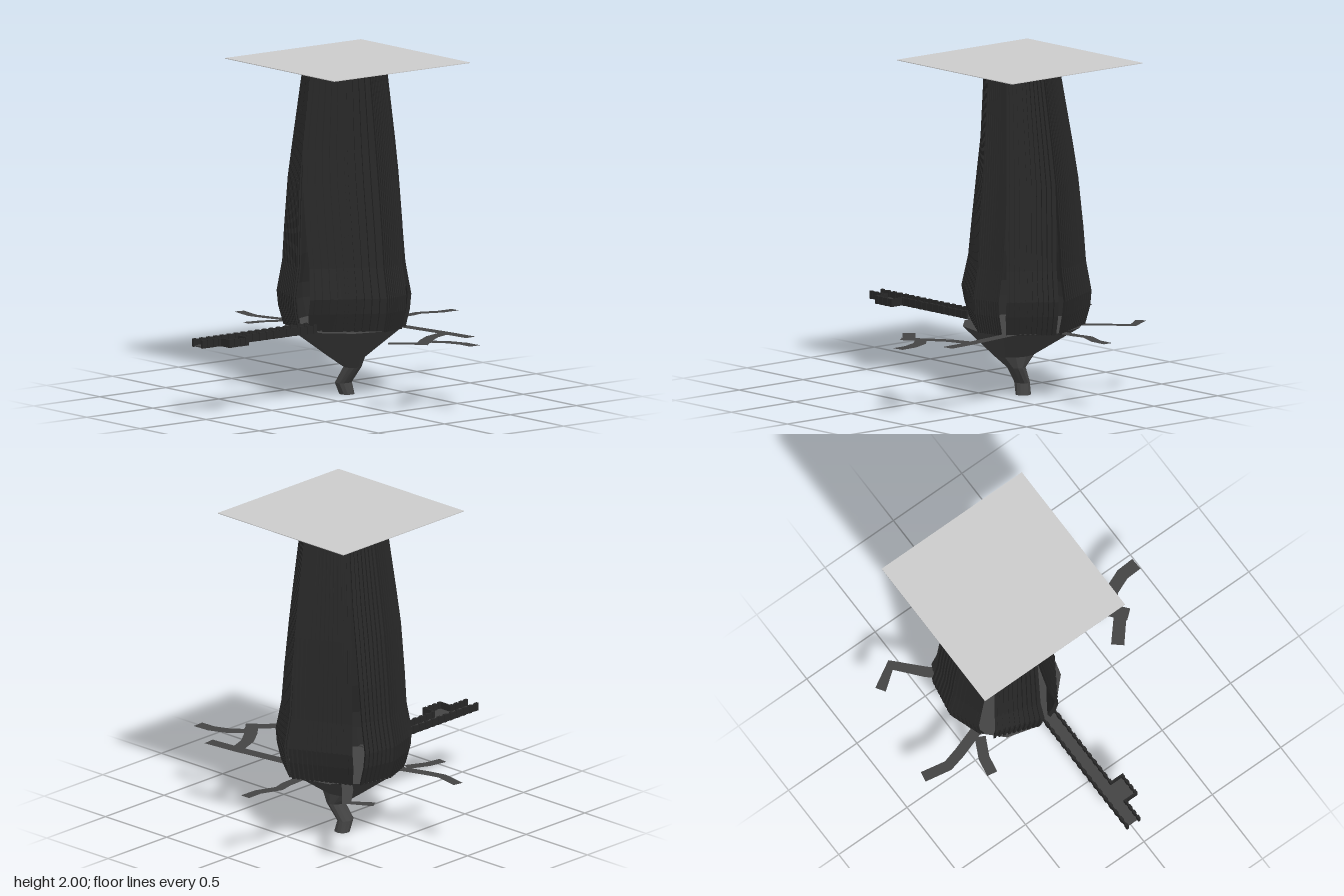
import * as THREE from 'three';

const mat = (color) => new THREE.MeshStandardMaterial({ color, flatShading: true, side: THREE.DoubleSide });
const dark = mat(0x444444), wallDark = mat(0x282828), grey = mat(0xcccccc);
const FLOOR = 0.42;

function add(parent, geometry, material, name) {
  const mesh = new THREE.Mesh(geometry, material);
  mesh.name = name;
  parent.add(mesh);
  return mesh;
}

function box(parent, name, x0, x1, y0, y1, z0, z1, material) {
  const mesh = add(parent, new THREE.BoxGeometry(x1 - x0, y1 - y0, z1 - z0), material, name);
  mesh.position.set((x0 + x1) / 2, (y0 + y1) / 2, (z0 + z1) / 2);
}

// Skin between closed rings of equal point count, listed bottom to top
function loft(rings) {
  const n = rings[0].length, index = [];
  for (let i = 0; i < rings.length - 1; i++) {
    for (let j = 0; j < n; j++) {
      const a = i * n + j, b = i * n + (j + 1) % n;
      index.push(a, a + n, b, b, a + n, b + n);
    }
  }
  const g = new THREE.BufferGeometry();
  g.setAttribute('position', new THREE.Float32BufferAttribute(rings.flat(2), 3));
  g.setIndex(index);
  g.computeVertexNormals();
  return g;
}

// Flat ribbon of constant width along [x, z] points
function ribbon(points, width) {
  const v = points.map((p) => new THREE.Vector2(...p)), pos = [], index = [];
  v.forEach((p, i) => {
    const d = v[Math.min(i + 1, v.length - 1)].clone().sub(v[Math.max(i - 1, 0)]).normalize();
    const ox = -d.y * width / 2, oz = d.x * width / 2;
    pos.push(p.x + ox, FLOOR, p.y + oz, p.x - ox, FLOOR, p.y - oz);
    if (i) index.push(2 * i - 2, 2 * i - 1, 2 * i, 2 * i - 1, 2 * i + 1, 2 * i);
  });
  const g = new THREE.BufferGeometry();
  g.setAttribute('position', new THREE.Float32BufferAttribute(pos, 3));
  g.setIndex(index);
  g.computeVertexNormals();
  return g;
}

// Tower outline: height, centre x, z, radius x, z
const profile = [
  [0.415, -0.175, -0.205, 0.36, 0.385], [0.53, -0.178, -0.205, 0.39, 0.412],
  [0.62, -0.178, -0.205, 0.395, 0.422], [0.8, -0.178, -0.205, 0.362, 0.39],
  [1.0, -0.177, -0.203, 0.347, 0.382], [1.3, -0.175, -0.198, 0.317, 0.365],
  [1.5, -0.168, -0.193, 0.292, 0.342], [1.98, -0.15, -0.18, 0.23, 0.28],
];
// Slits between the walls: start and end angle, closing height and angle,
// then the bend angles of the wall that follows
const slits = [
  [68, 85, 1.5, 86, []], [131, 146, 1.75, 138, [175]], [205, 216, 1.7, 212, []],
  [276, 282, 1.3, 279, []], [328, 336, 1.15, 332, [360]],
];

// Ribbed wall of flat faces between two neighbouring slits
function panel(slit, next, turn) {
  const faces = slit[4].length + 1, ribs = Math.round((next[0] + turn - slit[1]) / faces / 4.5);
  const rings = profile.map(([y, cx, cz, rx, rz], level) => {
    // The slits are widest at the bulge and narrow above and below it
    const edge = (s, k) => {
      const above = THREE.MathUtils.clamp((s[2] - y) / (s[2] - 0.62), 0.02, 1);
      const open = above * Math.min(1, 0.65 + (y - 0.415) * 1.75);
      return s[3] + (s[k] - s[3]) * open;
    };
    const corners = [edge(slit, 1), ...slit[4], edge(next, 0) + turn].map((deg) => {
      const a = THREE.MathUtils.degToRad(deg);
      return [Math.cos(a) * rx, Math.sin(a) * rz];
    });
    const outer = [], inner = [];
    for (let f = 0; f < faces; f++) {
      const [p, q] = [corners[f], corners[f + 1]];
      for (let i = 0; i < ribs; i++) {
        const jag = level === profile.length - 1 ? ((i * 5) % 4) * 0.004 - 0.008 : 0;
        for (const [s, inset] of [[0, 0.012], [0.45, 0.012], [0.46, 0], [1, 0]]) {
          const t = (i + s) / ribs;
          const place = (depth) => {
            const k = 1 - depth / rx;
            return [cx + k * (p[0] + (q[0] - p[0]) * t), y + jag, cz + k * (p[1] + (q[1] - p[1]) * t)];
          };
          outer.push(place(inset));
          inner.unshift(place(0.022));
        }
      }
    }
    return [...outer, ...inner];
  });
  return loft(rings);
}

export function createModel() {
  const model = new THREE.Group();
  model.name = 'tower';

  // Bent stem widening into the bowl: height, centre x, z, radius x, z
  const rows = [
    [0, -0.172, -0.205, 0.047, 0.045], [0.07, -0.18, -0.185, 0.042, 0.055],
    [0.17, -0.118, -0.205, 0.055, 0.055], [0.24, -0.135, -0.167, 0.135, 0.105],
    [FLOOR, -0.175, -0.193, 0.358, 0.36],
  ];
  const ring = ([y, cx, cz, rx, rz]) => Array.from({ length: 12 }, (_, i) => {
    const a = i / 12 * Math.PI * 2;
    return [cx + Math.cos(a) * rx, y, cz + Math.sin(a) * rz];
  });
  const point = ([y, cx, cz]) => ring([y, cx, cz, 0, 0]);
  add(model, loft([point(rows[0]), ...rows.map(ring), point(rows[4])]), dark, 'bowlAndStem');

  // Wall panels
  const walls = new THREE.Group();
  walls.name = 'walls';
  slits.forEach((s, i) => {
    const last = i === slits.length - 1;
    add(walls, panel(s, slits[last ? 0 : i + 1], last ? 360 : 0), wallDark, 'wallPanel');
  });
  model.add(walls);

  // Flat roof sheet
  box(model, 'roof', -0.665, 0.36, 1.996, 2, -0.71, 0.32, grey);

  // Branching side paths
  const paths = [
    [[0.08, -0.4], [0.45, -0.455], [0.66, -0.475]],
    [[0.45, -0.45], [0.5, -0.31], [0.57, -0.21], [0.68, -0.08]],
    [[0.515, 0.035], [0.64, -0.11], [0.62, -0.19], [0.69, -0.26], [0.8, -0.305], [0.905, -0.31]],
    [[-0.14, -1], [-0.14, -0.89], [-0.19, -0.76], [-0.17, -0.68], [-0.16, -0.48]],
    [[-0.78, -0.565], [-0.64, -0.655], [-0.5, -0.5], [-0.34, -0.35]],
    [[-0.9, 0.025], [-0.74, 0.055], [-0.64, 0.03], [-0.4, -0.05]],
    [[-0.56, 0.25], [-0.54, 0.14], [-0.48, 0.02]],
  ];
  paths.forEach((p, i) => add(model, ribbon(p, i < 3 ? 0.078 : 0.066), dark, 'sidePath'));

  // Front walkway with a side platform
  const walkway = new THREE.Group();
  walkway.name = 'walkway';
  const top = 0.468, L = -0.12, R = -0.035, P = 0.045;
  box(walkway, 'deck', L, R, FLOOR, FLOOR + 0.008, 0.08, 0.99, dark);
  box(walkway, 'platform', R, P, FLOOR, FLOOR + 0.008, 0.72, 0.86, dark);
  // Railings along z: x, start, end
  for (const [x, z0, z1] of [[L, 0.14, 1], [R, 0.14, 0.72], [R, 0.86, 1], [P, 0.72, 0.86]]) {
    box(walkway, 'railing', x - 0.004, x + 0.004, FLOOR, top - 0.004, z0, z1, wallDark);
    const n = Math.max(2, Math.round((z1 - z0) / 0.055));
    for (let i = 0; i <= n; i++) {
      const z = z0 + 0.008 + (z1 - z0 - 0.016) * i / n;
      box(walkway, 'railingPost', x - 0.008, x + 0.008, FLOOR, top, z - 0.012, z + 0.012, wallDark);
    }
  }
  for (const z of [0.72, 0.86]) {
    box(walkway, 'platformRailing', R, P, FLOOR, top, z - 0.004, z + 0.004, wallDark);
  }
  model.add(walkway);
  return model;
}
